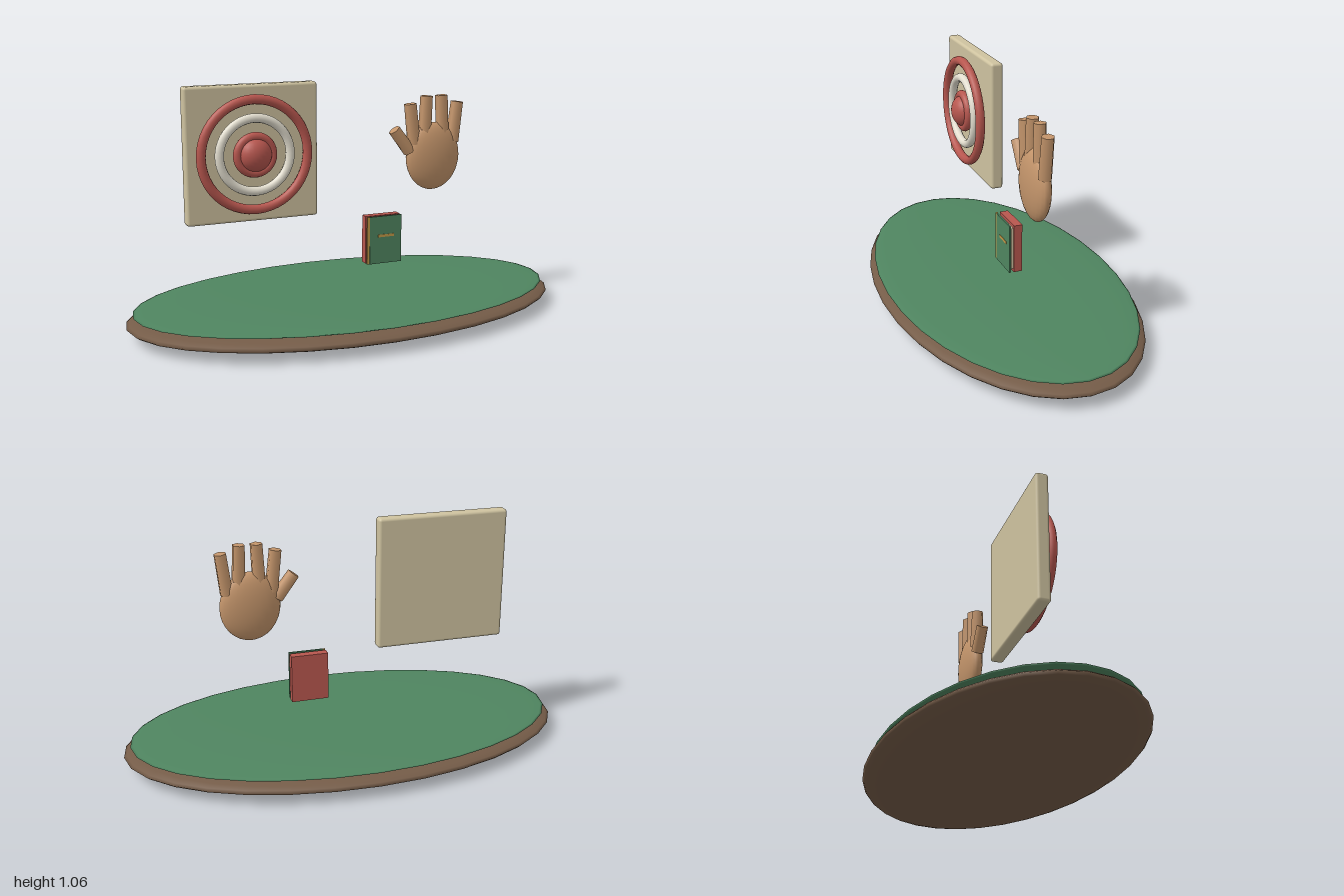
import * as THREE from 'three';
import { RoundedBoxGeometry } from 'three/addons/geometries/RoundedBoxGeometry.js';

const material = (color) => new THREE.MeshStandardMaterial({ color });
const brown = material(0x755c48);
const green = material(0x4f8560);
const red = material(0xb8574f);
const cream = material(0xcfc3a0);
const white = material(0xe4dfd0);
const skin = material(0xc4956b);
const gold = material(0xc29a48);

function add(parent, name, geometry, mat, x, y, z) {
  const mesh = new THREE.Mesh(geometry, mat);
  mesh.name = name;
  mesh.position.set(x, y, z);
  parent.add(mesh);
  return mesh;
}

function ellipsoid(rx, ry, rz, segments = 32, rings = 20) {
  return new THREE.SphereGeometry(1, segments, rings).scale(rx, ry, rz);
}

function group(parent, name) {
  const g = new THREE.Group();
  g.name = name;
  parent.add(g);
  return g;
}

// Oval table: flattened wooden body with a thin green top
function buildTable(parent) {
  const table = group(parent, 'table');
  add(table, 'tableBody', ellipsoid(1, 0.06, 0.545), brown, 0, 0.06, 0);
  add(table, 'tableTop', ellipsoid(0.97, 0.018, 0.522), green, 0, 0.105, 0);
}

// Square board carrying concentric rings and a domed centre
function buildTarget(parent) {
  const target = group(parent, 'target');
  target.position.set(-0.427, 0.766, 0);
  add(target, 'board', new RoundedBoxGeometry(0.59, 0.59, 0.057, 3, 0.013), cream, 0, 0, -0.049);
  const rings = [
    ['outerRing', 0.236, 0.021, red],
    ['middleRing', 0.157, 0.02, white],
    ['innerRing', 0.078, 0.02, red],
  ];
  for (const [name, radius, tube, mat] of rings) {
    add(target, name, new THREE.TorusGeometry(radius, tube, 10, 48), mat, 0, 0, 0.01);
  }
  add(target, 'bullseye', ellipsoid(0.073, 0.073, 0.055, 24, 16), red, 0, 0, 0.01);
}

// Open hand: oval palm with six-sided fingers
function buildHand(parent) {
  const hand = group(parent, 'hand');
  add(hand, 'palm', ellipsoid(0.133, 0.155, 0.047, 24, 16), skin, 0.42, 0.702, 0);
  const fingers = [
    ['thumb', 0.304, 0.73, 0.227, 0.832],
    ['indexFinger', 0.326, 0.763, 0.305, 0.945],
    ['middleFinger', 0.378, 0.79, 0.386, 0.977],
    ['ringFinger', 0.468, 0.79, 0.461, 0.977],
    ['littleFinger', 0.519, 0.763, 0.541, 0.945],
  ];
  for (const [name, x0, y0, x1, y1] of fingers) {
    const length = Math.hypot(x1 - x0, y1 - y0);
    const finger = add(hand, name, new THREE.CylinderGeometry(0.028, 0.03, length, 6), skin,
      (x0 + x1) / 2, (y0 + y1) / 2, 0);
    finger.rotation.z = Math.atan2(x0 - x1, y1 - y0);
  }
}

// Small upright book: red block, pages, green front cover, gold trim
function buildBook(parent) {
  const book = group(parent, 'book');
  const box = (name, w, h, d, mat, x, z, y = 0.343) =>
    add(book, name, new THREE.BoxGeometry(w, h, d), mat, x, y, z);
  box('backBlock', 0.167, 0.218, 0.038, red, 0.164, 0.001);
  box('pages', 0.155, 0.19, 0.009, cream, 0.164, 0.0245);
  box('frontCover', 0.155, 0.218, 0.007, green, 0.17, 0.0375);
  box('spineStrip', 0.012, 0.218, 0.007, gold, 0.086, 0.0365);
  box('titleBar', 0.078, 0.012, 0.003, gold, 0.172, 0.0415, 0.362);
}

export function createModel() {
  const model = new THREE.Group();
  model.name = 'tableWithTargetHandAndBook';
  buildTable(model);
  buildTarget(model);
  buildHand(model);
  buildBook(model);
  return model;
}
